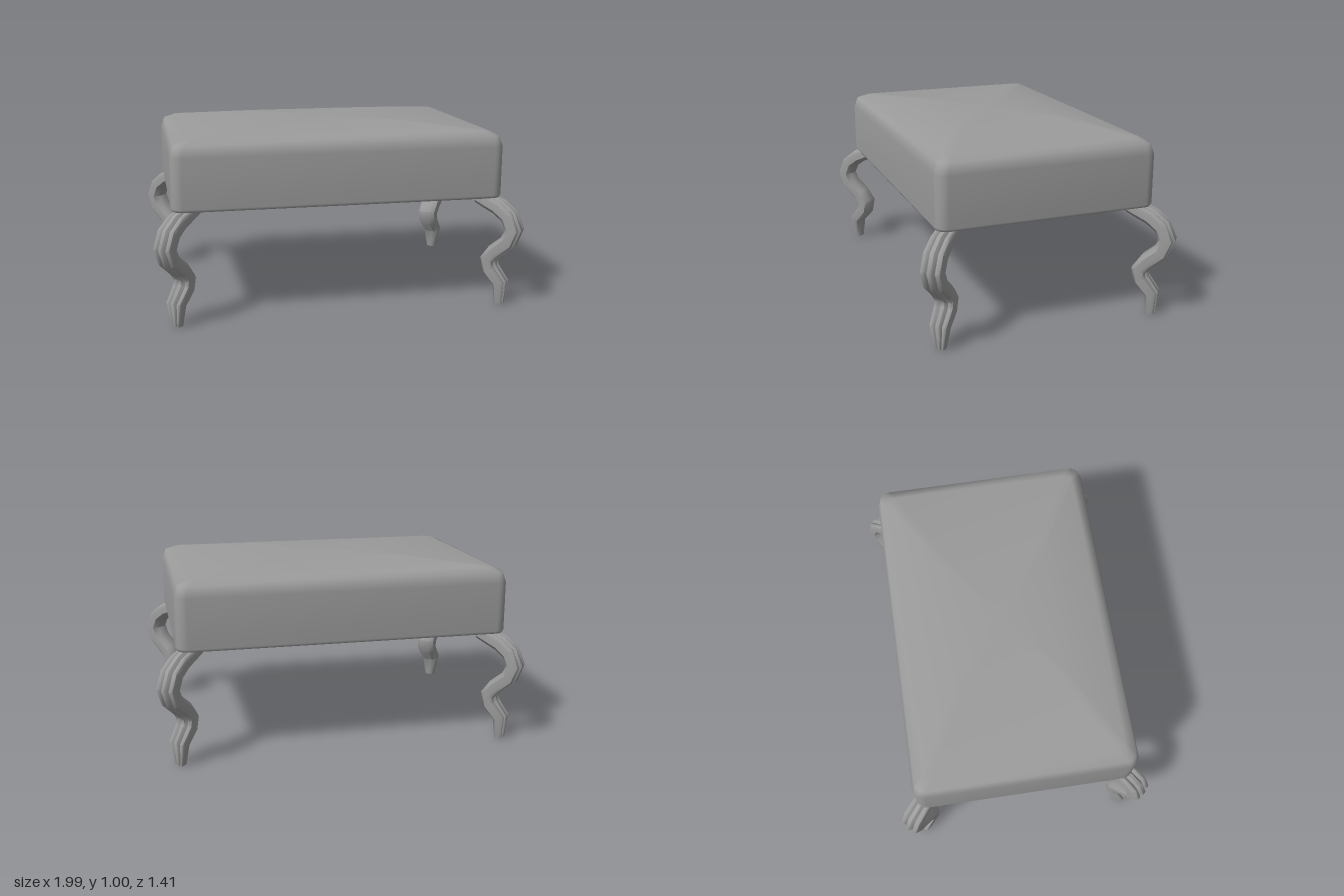
import * as THREE from 'three';
import { toCreasedNormals } from 'three/addons/utils/BufferGeometryUtils.js';

// Skins a stack of closed rings (equal point counts) and caps both ends
function loft(rings) {
  const n = rings[0].length, pos = [], idx = [];
  rings.forEach(r => r.forEach(p => pos.push(p.x, p.y, p.z)));
  for (let i = 0; i < rings.length - 1; i++) {
    for (let j = 0; j < n; j++) {
      const a = i * n + j, b = i * n + (j + 1) % n;
      idx.push(a, a + n, b, b, a + n, b + n);
    }
  }
  [0, rings.length - 1].forEach((k, end) => {
    const c = new THREE.Vector3();
    rings[k].forEach(p => c.addScaledVector(p, 1 / n));
    const centre = pos.length / 3;
    pos.push(c.x, c.y, c.z);
    for (let j = 0; j < n; j++) {
      const a = k * n + j, b = k * n + (j + 1) % n;
      if (end) idx.push(centre, b, a); else idx.push(centre, a, b);
    }
  });
  const geo = new THREE.BufferGeometry();
  geo.setAttribute('position', new THREE.Float32BufferAttribute(pos, 3));
  geo.setIndex(idx);
  geo.computeVertexNormals();
  return geo;
}

// Horizontal rounded rectangle with half sizes hx, hz
function roundedRing(hx, hz, y, r) {
  const pts = [], steps = 5;
  for (let q = 0; q < 4; q++) {
    const sx = q === 0 || q === 3 ? 1 : -1, sz = q < 2 ? 1 : -1;
    for (let i = 0; i <= steps; i++) {
      const a = (q + i / steps) * Math.PI / 2;
      pts.push(new THREE.Vector3(sx * (hx - r) + r * Math.cos(a), y, sz * (hz - r) + r * Math.sin(a)));
    }
  }
  return pts;
}

// Fully smooth upholstered block with a softly crowned top
function cushionGeometry() {
  // height, inset along x, inset along z, corner radius
  const levels = [
    [0.595, 0.025, 0.025, 0.04], [0.6, 0.008, 0.008, 0.055], [0.615, 0, 0, 0.06],
    [0.88, 0, 0, 0.06], [0.938, 0.018, 0.018, 0.055], [0.962, 0.075, 0.07, 0.04],
    [1.0, 0.51, 0.31, 0.03],
  ];
  return loft(levels.map(([y, ix, iz, r]) => roundedRing(0.893 - ix, 0.595 - iz, y, r)));
}

function legGeometry() {
  // outward offset, height, thickness, width, from seat down to foot
  const path = [
    [-0.14, 0.597, 0.075, 0.105], [-0.09, 0.575, 0.08, 0.105], [-0.025, 0.549, 0.085, 0.11],
    [0.038, 0.502, 0.085, 0.115], [0.07, 0.43, 0.085, 0.115], [0.042, 0.36, 0.085, 0.115],
    [-0.03, 0.297, 0.085, 0.115], [-0.068, 0.245, 0.085, 0.115], [-0.058, 0.19, 0.08, 0.11],
    [0.003, 0.118, 0.075, 0.1], [0, 0, 0.048, 0.055],
  ];
  // half section: outward, sideways; three ridges outside, bevelled flat inside
  const half = [[0.5, 0.09], [0.4, 0.15], [0.28, 0.2], [0.4, 0.27], [0.44, 0.37], [0.36, 0.47], [0.15, 0.5], [-0.25, 0.5], [-0.5, 0.27]];
  const section = [...half, ...half.map(([u, w]) => [u, -w]).reverse()];
  const rings = path.map(([s, y, t, w], i) => {
    const a = path[Math.max(i - 1, 0)], b = path[Math.min(i + 1, path.length - 1)];
    const dir = new THREE.Vector2(b[0] - a[0], b[1] - a[1]).normalize();
    if (i === path.length - 1) dir.set(0, -1);
    return section.map(([u, v]) => new THREE.Vector3(s - dir.y * u * t, y + dir.x * u * t, v * w));
  });
  return toCreasedNormals(loft(rings.reverse()), 0.85);
}

export function createModel() {
  const model = new THREE.Group();
  model.name = 'footstool';
  const material = new THREE.MeshStandardMaterial({ color: 0x9b9b9b });

  const cushion = new THREE.Mesh(cushionGeometry(), material);
  cushion.name = 'cushion';
  cushion.position.set(-0.007, 0, 0.004);
  model.add(cushion);

  // Cabriole legs point out along the diagonals
  const leg = legGeometry();
  for (const [sx, side] of [[1, 'Left'], [-1, 'Right']]) {
    for (const [sz, end] of [[1, 'front'], [-1, 'back']]) {
      const mesh = new THREE.Mesh(leg, material);
      mesh.name = `${end}${side}Leg`;
      mesh.position.set(sx * 0.888, 0, sz * 0.594);
      mesh.rotation.y = Math.atan2(-sz, sx);
      model.add(mesh);
    }
  }
  return model;
}
